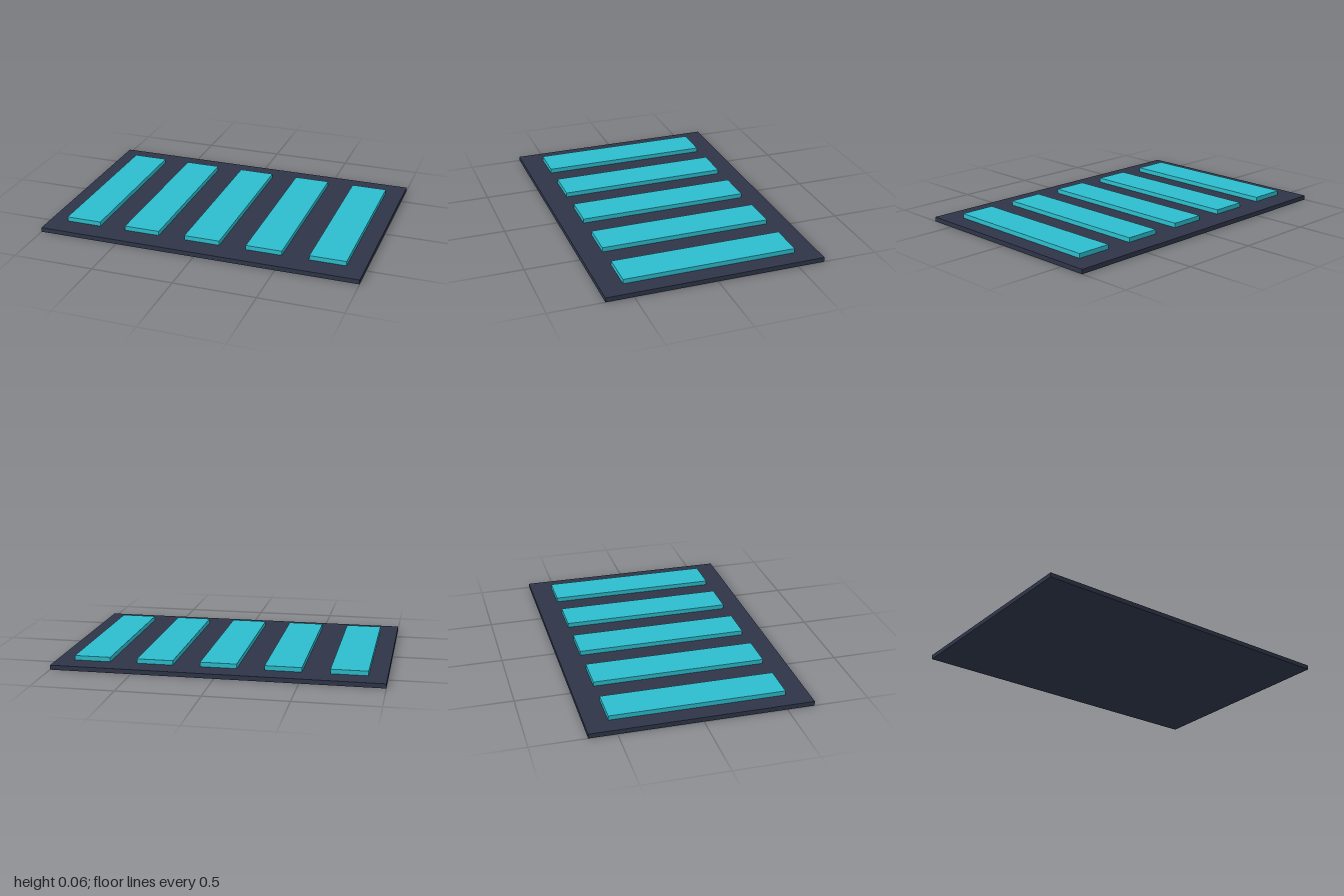
import * as THREE from 'three';

export function createModel() {
  const group = new THREE.Group();
  const navy = new THREE.MeshStandardMaterial({ color: 0x2e3548 });
  navy.name = 'dark navy';
  const teal = new THREE.MeshStandardMaterial({ color: 0x2dbdcd });
  teal.name = 'teal';

  const unit = 1 / 36; // plate thickness

  // Box standing on the given height
  function addBox(name, material, width, height, depth, x, bottom) {
    const mesh = new THREE.Mesh(new THREE.BoxGeometry(width, height, depth), material);
    mesh.name = name;
    mesh.position.set(x, bottom + height / 2, 0);
    group.add(mesh);
  }

  // Base plate
  addBox('basePlate', navy, 72 * unit, unit, 48 * unit, 0, 0);

  // Five raised strips, evenly spaced across the plate
  for (let i = -2; i <= 2; i++) {
    addBox(`strip${i + 3}`, teal, 8 * unit, unit, 38 * unit, i * 14 * unit, unit);
  }

  return group;
}
